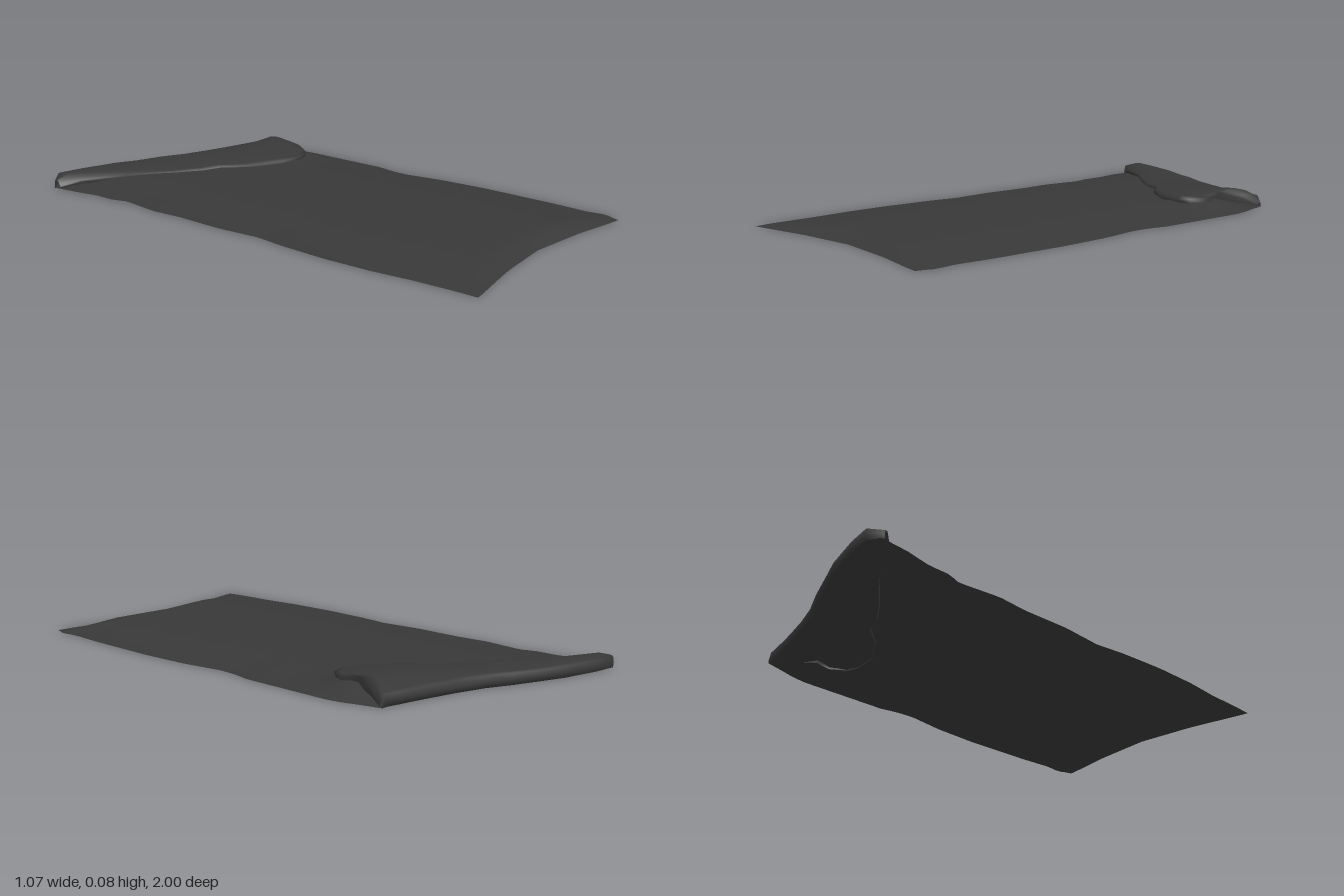
import * as THREE from 'three';

const material = new THREE.MeshStandardMaterial({ color: 0x383838, side: THREE.DoubleSide });

// Piecewise-linear lookup through [position, value] pairs, positions ascending
function lookup(points, p) {
  if (p <= points[0][0]) return points[0][1];
  for (let i = 1; i < points.length; i++) {
    const [a, va] = points[i - 1], [b, vb] = points[i];
    if (p <= b) return va + (vb - va) * (p - a) / (b - a);
  }
  return points[points.length - 1][1];
}

// Smooth surface through a grid of points: rows[j][i] = [x, y, z]
function gridMesh(name, rows) {
  const nx = rows[0].length, index = [];
  for (let j = 0; j < rows.length - 1; j++) {
    for (let i = 0; i < nx - 1; i++) {
      const a = j * nx + i, b = a + 1, c = a + nx, d = c + 1;
      index.push(a, b, c, b, d, c);
    }
  }
  const geometry = new THREE.BufferGeometry();
  geometry.setAttribute('position', new THREE.Float32BufferAttribute(rows.flat(2), 3));
  geometry.setIndex(index);
  geometry.computeVertexNormals();
  const mesh = new THREE.Mesh(geometry, material);
  mesh.name = name;
  return mesh;
}

// Wavy side hems: [z, x]
const rightHem = [[-0.95, -0.535], [-0.85, -0.525], [-0.75, -0.505], [-0.66, -0.505], [-0.6, -0.485],
  [-0.43, -0.505], [-0.3, -0.495], [-0.1, -0.5], [0.08, -0.485], [0.2, -0.5], [0.4, -0.51],
  [0.6, -0.505], [0.75, -0.49], [1, -0.48]];
const leftHem = [[-0.7, 0.47], [-0.65, 0.485], [-0.57, 0.51], [-0.5, 0.522], [-0.12, 0.52], [-0.05, 0.505],
  [0.03, 0.5], [0.2, 0.525], [0.4, 0.535], [0.7, 0.53], [0.85, 0.52], [0.93, 0.53], [0.98, 0.505]];
// End hems: [x, z]
const frontHem = [[-0.5, 1], [-0.24, 0.95], [0, 0.925], [0.26, 0.95], [0.5, 0.99]];
const backHem = [[-0.54, -0.95], [-0.49, -0.99], [-0.4, -0.98], [-0.25, -0.94], [-0.05, -0.86],
  [0.05, -0.81], [0.25, -0.75], [0.47, -0.7]];
// Low arch across the width: [x, y]
const arch = [[-0.5, 0.002], [-0.24, 0.031], [0.26, 0.031], [0.5, 0.002]];

// Spread sheet lying on the ground
function sheet() {
  const rows = [], NU = 24, NV = 64;
  for (let j = 0; j <= NV; j++) {
    const v = j / NV, row = [];
    for (let i = 0; i <= NU; i++) {
      const u = i / NU, x0 = -0.51 + 1.02 * u;
      const z = THREE.MathUtils.lerp(lookup(frontHem, x0), lookup(backHem, x0), v);
      const x = THREE.MathUtils.lerp(lookup(rightHem, z), lookup(leftHem, z), u);
      const ramp = Math.min(1, v / 0.035, (1 - v) / 0.05);
      const edge = Math.min(1, u / 0.08, (1 - u) / 0.08);
      // Swelling beneath the turned corner
      const bump = 0.03 * Math.exp(-((x - 0.38) ** 2 + (z + 0.5) ** 2) / 0.012);
      row.push([x, 0.002 + (lookup(arch, x0) + bump * edge) * ramp, z]);
    }
    rows.push(row);
  }
  return gridMesh('sheet', rows);
}

// Turned-over flap, sections along the fold: [back x, back z, lip x, lip z, crown height, lip height]
const sections = [
  [-0.54, -0.96, -0.53, -0.935, 0.036, 0.01],
  [-0.49, -1.0, -0.46, -0.89, 0.053, 0.028],
  [-0.4, -0.988, -0.3, -0.79, 0.053, 0.036],
  [-0.25, -0.95, -0.15, -0.665, 0.053, 0.04],
  [-0.15, -0.91, -0.05, -0.595, 0.05, 0.042],
  [-0.05, -0.868, 0.02, -0.57, 0.053, 0.043],
  [0.05, -0.82, 0.1, -0.48, 0.06, 0.047],
  [0.17, -0.78, 0.22, -0.4, 0.068, 0.055],
  [0.28, -0.75, 0.32, -0.385, 0.075, 0.06],
  [0.35, -0.732, 0.37, -0.4, 0.08, 0.062],
  [0.4, -0.72, 0.41, -0.46, 0.083, 0.066],
  [0.44, -0.708, 0.395, -0.53, 0.079, 0.066],
  [0.46, -0.703, 0.44, -0.62, 0.055, 0.05],
  [0.475, -0.7, 0.47, -0.69, 0.02, 0.012],
];

function flap() {
  const rows = sections.map(([bx, bz, fx, fz, h, lip]) => {
    const back = Math.min(0.05, h * 0.95);
    // Along the section: under the fold, round the back, over the crown, down the lip
    const profile = [[0.08, 0.003], [0.015, 0.004], [0, back * 0.5], [0.03, back * 0.9], [0.1, back],
      [0.28, (back + 2 * h) / 3], [0.5, h], [0.75, (h + lip) / 2], [0.93, lip],
      [1, lip * 0.85], [0.97, lip * 0.5]];
    return profile.map(([t, y]) => [bx + (fx - bx) * t, y, bz + (fz - bz) * t]);
  });
  // Rows run across the fold, so swap them to face upward
  const across = rows[0].map((_, k) => rows.map((row) => row[k])).reverse();
  return gridMesh('foldedFlap', across);
}

export function createModel() {
  const model = new THREE.Group();
  model.name = 'blanket';
  model.add(sheet(), flap());
  return model;
}
